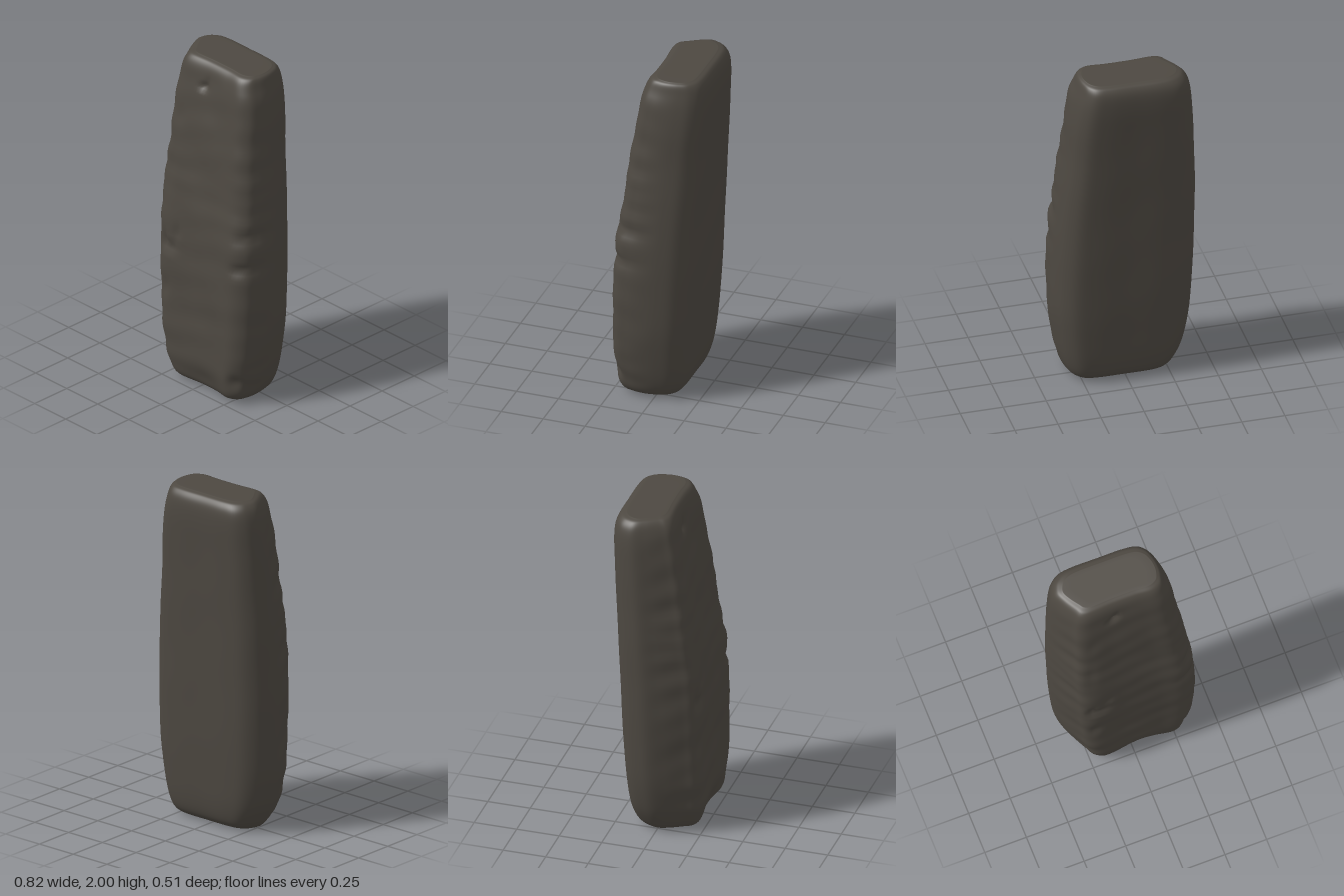
import * as THREE from 'three';

// Height levels: y, left edge, right edge, back, front
const LEVELS = [
  [0, -0.23, 0.24, -0.07, 0.15],
  [0.015, -0.265, 0.3, -0.115, 0.2],
  [0.06, -0.3, 0.335, -0.15, 0.232],
  [0.16, -0.345, 0.365, -0.172, 0.25],
  [0.32, -0.378, 0.388, -0.186, 0.254],
  [0.5, -0.395, 0.403, -0.197, 0.252],
  [0.75, -0.405, 0.402, -0.208, 0.248],
  [1.0, -0.41, 0.393, -0.217, 0.235],
  [1.25, -0.408, 0.37, -0.228, 0.2],
  [1.5, -0.397, 0.342, -0.24, 0.168],
  [1.7, -0.385, 0.325, -0.25, 0.138],
  [1.85, -0.372, 0.302, -0.256, 0.112],
  [1.94, -0.353, 0.278, -0.25, 0.09],
  [1.985, -0.325, 0.262, -0.227, 0.064],
  [2, -0.29, 0.24, -0.195, 0.03],
];

// Cross-section seen from above as fractions of width and depth, front-left corner bevelled
const SECTION = [
  [0.2, 0.985], [0.45, 0.965], [0.7, 0.965], [0.87, 0.985], [0.955, 0.9], [0.99, 0.74],
  [1, 0.56], [0.985, 0.35], [0.945, 0.16], [0.87, 0.04], [0.75, 0.005], [0.5, 0],
  [0.25, 0], [0.13, 0.03], [0.05, 0.13], [0.01, 0.27], [0, 0.4], [0.04, 0.6],
  [0.105, 0.82], [0.145, 0.94],
];

// Chips on the worn front: x, y, radius x, radius y, depth
const CHIPS = [
  [-0.2, 0.83, 0.06, 0.022, 0.028], [-0.25, 0.86, 0.025, 0.05, 0.02],
  [-0.16, 0.92, 0.025, 0.05, 0.014], [-0.07, 1.85, 0.03, 0.022, 0.022],
  [-0.05, 1.88, 0.014, 0.03, 0.01], [0.34, 0.87, 0.06, 0.025, 0.022],
  [0.31, 0.15, 0.04, 0.045, 0.022], [-0.24, 0.56, 0.03, 0.06, 0.012],
  [0.36, 1.07, 0.05, 0.03, 0.014], [-0.24, 1.3, 0.03, 0.14, 0.008],
  [-0.22, 1.62, 0.04, 0.06, 0.007], [0.05, 0.06, 0.12, 0.06, 0.012],
];

const AROUND = 120, ROWS = 112;

// Gentle unevenness, stronger toward the weathered front
function roughness(x, y, z, front) {
  const broad = Math.sin(7 * x + 5 * y) * Math.sin(9 * y - 6 * z + 1) * 0.003;
  const fine = Math.sin(23 * y + 9 * x + 2) * Math.sin(17 * x - 11 * y + 8 * z) * 0.0035;
  const ledges = Math.sin(31 * y + 4 * Math.sin(5 * y)) * Math.abs(x) * 0.008;
  return broad * (0.4 + front) + (fine + ledges) * front;
}

function stoneGeometry() {
  const section = new THREE.CatmullRomCurve3(
    SECTION.map(([u, v]) => new THREE.Vector3(u, 0, v)), true, 'centripetal').getSpacedPoints(AROUND);
  const widths = new THREE.CatmullRomCurve3(
    LEVELS.map(([y, l, r]) => new THREE.Vector3(l, y, r)), false, 'catmullrom', 0.5);
  const depths = new THREE.CatmullRomCurve3(
    LEVELS.map(([y, , , b, f]) => new THREE.Vector3(b, y, f)), false, 'catmullrom', 0.5);

  const positions = [], index = [];
  const addRing = (t, scale, detail) => {
    const w = widths.getPoint(t), d = depths.getPoint(t);
    const cx = (w.x + w.z) / 2, cz = (d.x + d.z) / 2;
    for (let i = 0; i < AROUND; i++) {
      const { x: u, z: v } = section[i];
      let x = w.x + (w.z - w.x) * u;
      let z = d.x + (d.z - d.x) * v;
      if (detail) {
        const front = THREE.MathUtils.smoothstep(v, 0.35, 0.8);
        const fade = Math.min(1, w.y / 0.1, (2 - w.y) / 0.1);
        const push = roughness(x, w.y, z, front) * fade;
        const length = Math.hypot(x - cx, z - cz);
        let dent = 0;
        for (const [px, py, rx, ry, depth] of CHIPS) {
          dent += depth * Math.exp(-(((x - px) / rx) ** 2) - ((w.y - py) / ry) ** 2);
        }
        x += (x - cx) / length * push - Math.sign(x) * dent * front * Math.abs(u - 0.5);
        z += (z - cz) / length * push - dent * front;
      }
      positions.push(cx + (x - cx) * scale, w.y, cz + (z - cz) * scale);
    }
  };

  // Bottom cap, sides and top cap as one continuous skin
  const rings = [[0, 0.001, false], [0, 0.4, false], [0, 0.8, false]];
  for (let j = 0; j <= ROWS; j++) rings.push([j / ROWS, 1, j > 0 && j < ROWS]);
  rings.push([1, 0.8, false], [1, 0.4, false], [1, 0.001, false]);
  rings.forEach((ring) => addRing(...ring));

  for (let j = 0; j < rings.length - 1; j++) {
    for (let i = 0; i < AROUND; i++) {
      const a = j * AROUND + i, b = j * AROUND + (i + 1) % AROUND;
      index.push(a, b, b + AROUND, a, b + AROUND, a + AROUND);
    }
  }
  const geometry = new THREE.BufferGeometry();
  geometry.setAttribute('position', new THREE.Float32BufferAttribute(positions, 3));
  geometry.setIndex(index);
  geometry.computeVertexNormals();
  return geometry;
}

export function createModel() {
  const group = new THREE.Group();
  group.name = 'standingStone';
  const stone = new THREE.MeshStandardMaterial({ color: 0x4d4841 });
  stone.name = 'darkStone';
  const slab = new THREE.Mesh(stoneGeometry(), stone);
  slab.name = 'stoneSlab';
  group.add(slab);
  return group;
}
